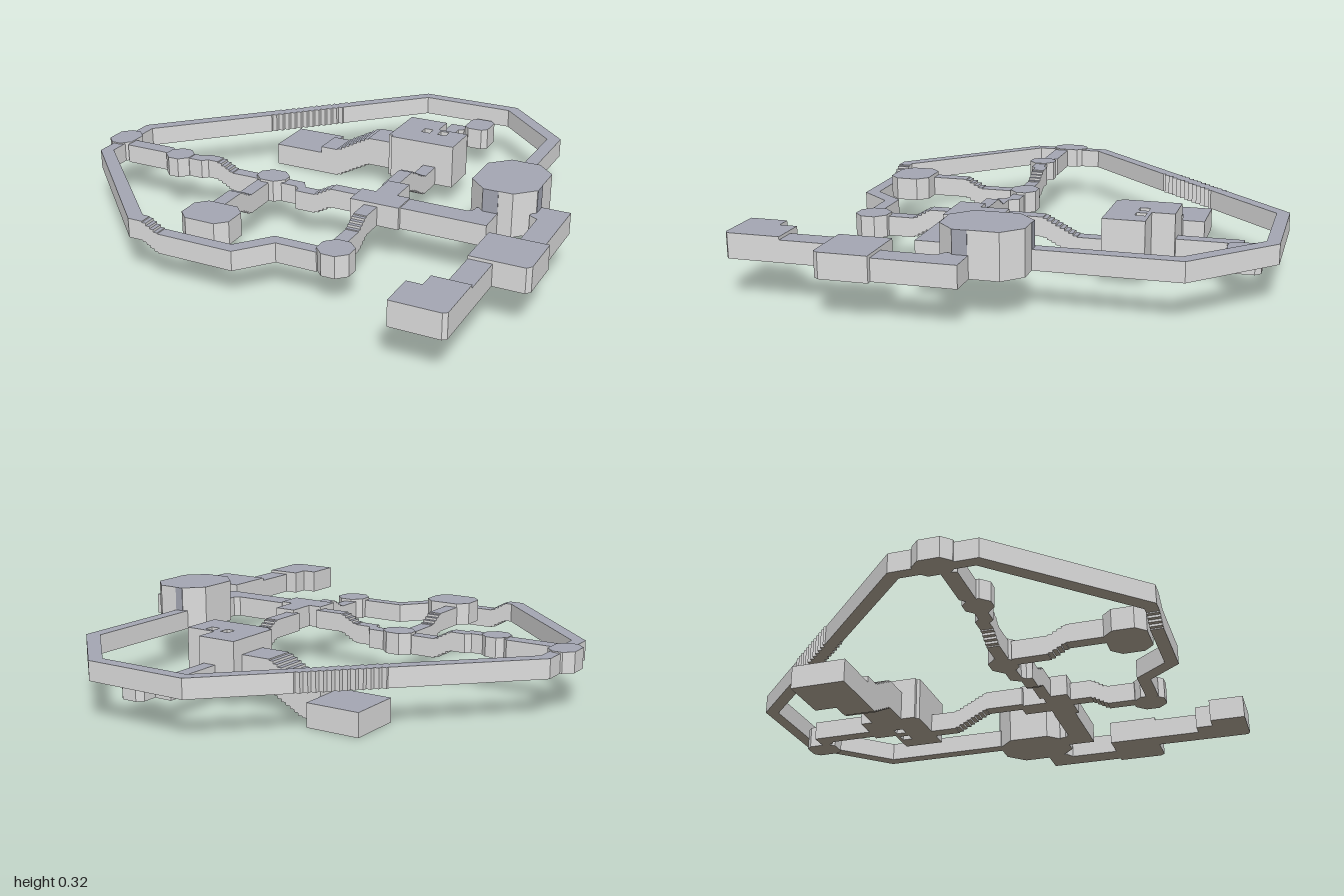
import * as THREE from 'three';

const wall = new THREE.MeshStandardMaterial({ name: 'wall light grey', color: 0xdcdcdc });
const roof = new THREE.MeshStandardMaterial({ name: 'roof blue grey', color: 0xa3a6b2 });
const floor = new THREE.MeshStandardMaterial({ name: 'floor warm grey', color: 0xa89f90 });

export function createModel() {
  const model = new THREE.Group();
  model.name = 'undergroundComplex';

  // Upright prism over an [x, z] outline: floor, roof and wall each get a colour
  function prism(name, pts, y0, y1, holes = [], parent = model) {
    const flat = (list) => list.map(([x, z]) => new THREE.Vector2(x, -z));
    const shape = new THREE.Shape(flat(pts));
    holes.forEach((h) => shape.holes.push(new THREE.Path(flat(h).reverse())));
    const geo = new THREE.ExtrudeGeometry(shape, { depth: y1 - y0, bevelEnabled: false });
    geo.rotateX(-Math.PI / 2).translate(0, y0, 0);
    const caps = geo.groups[0].count;
    const total = geo.attributes.position.count;
    geo.clearGroups();
    geo.addGroup(0, caps / 2, 0);
    geo.addGroup(caps / 2, caps / 2, 1);
    geo.addGroup(caps, total - caps, 2);
    const mesh = new THREE.Mesh(geo, [floor, roof, wall]);
    mesh.name = name;
    parent.add(mesh);
  }
  const rect = (x0, x1, z0, z1) => [[x0, z0], [x1, z0], [x1, z1], [x0, z1]];
  const box = (name, x0, x1, z0, z1, y0, y1, parent) =>
    prism(name, rect(x0, x1, z0, z1), y0, y1, [], parent);
  // Rectangle with its corners cut by c
  const chamfer = (name, x0, x1, z0, z1, c, y0, y1) => prism(name, [
    [x0 + c, z0], [x1 - c, z0], [x1, z0 + c], [x1, z1 - c],
    [x1 - c, z1], [x0 + c, z1], [x0, z1 - c], [x0, z0 + c]], y0, y1);
  // Stepped passage along x or z; the floor goes from ya to yb
  function stairs(name, axis, a, b, side0, side1, ya, yb, h, n) {
    const g = new THREE.Group();
    g.name = name;
    model.add(g);
    for (let i = 0; i < n; i++) {
      const p = a + (b - a) * i / n, q = a + (b - a) * (i + 1) / n;
      const y = ya + (yb - ya) * (i + 0.5) / n;
      if (axis === 'x') box('step', p, q, side0, side1, y, y + h, g);
      else box('step', side0, side1, p, q, y, y + h, g);
    }
  }
  // Thin roof-coloured panel on a wall above a doorway
  function lintel(name, x0, x1, z0, z1, y0, y1) {
    const mesh = new THREE.Mesh(new THREE.BoxGeometry(x1 - x0, y1 - y0, z1 - z0), roof);
    mesh.position.set((x0 + x1) / 2, (y0 + y1) / 2, (z0 + z1) / 2);
    mesh.name = name;
    model.add(mesh);
  }

  const U = 0.15, UT = 0.227, L = 0.112, LT = 0.19, D = 0.08;

  // Outer ring passage, back half
  box('ringWestStub', -0.957, -0.91, -0.03, 0.08, U, UT);
  prism('ringDiagonalWest', [[-0.957, -0.03], [-0.53, -0.457], [-0.53, -0.385], [-0.91, -0.005]], U, UT);
  const zigzag = new THREE.Group();
  zigzag.name = 'ringZigzag';
  model.add(zigzag);
  for (let i = 0; i < 12; i++) {
    const x = -0.53 + i * 0.02;
    box('zigzagBlock', x, x + 0.02, -0.997 - x, -0.925 - x, U, UT, zigzag);
  }
  prism('ringBack', [[-0.29, -0.697], [-0.017, -0.97], [0.42, -0.97], [0.715, -0.68], [0.715, -0.13],
    [0.662, -0.13], [0.662, -0.657], [0.397, -0.92], [0.003, -0.92], [-0.29, -0.625]], U, UT);

  // Outer ring passage, front half
  prism('ringFrontWest', [[-0.957, 0.19], [-0.91, 0.19], [-0.91, 0.275], [-0.43, 0.75], [-0.4, 0.75],
    [-0.4, 0.8], [-0.46, 0.8], [-0.957, 0.3]], U, UT);
  stairs('ringStairs', 'x', -0.4, -0.335, 0.75, 0.8, U, L, 0.077, 4);
  prism('ringFrontEast', [[-0.335, 0.75], [-0.05, 0.75], [0.055, 0.62], [0.25, 0.62], [0.25, 0.67],
    [0.085, 0.67], [-0.022, 0.8], [-0.335, 0.8]], L, LT);
  chamfer('frontOctagonRoom', 0.24, 0.37, 0.56, 0.69, 0.038, L, 0.2);
  box('frontPassageLow', 0.258, 0.312, 0.455, 0.57, L, LT);
  stairs('frontStairs', 'z', 0.39, 0.455, 0.258, 0.312, U, L, 0.077, 4);
  box('frontPassageHigh', 0.258, 0.312, 0.29, 0.39, U, UT);

  // West to east passage
  chamfer('westOctagonRoom', -1, -0.89, 0.06, 0.21, 0.035, U, 0.232);
  prism('westPassage', [[-0.9, 0.14], [-0.7, 0.14], [-0.68, 0.16], [-0.68, 0.2], [-0.89, 0.2]], U, UT);
  chamfer('smallOctagonRoom', -0.69, -0.58, 0.135, 0.245, 0.033, U, 0.23);
  prism('joggedPassage', [[-0.59, 0.16], [-0.54, 0.16], [-0.52, 0.14], [-0.455, 0.14], [-0.455, 0.19],
    [-0.5, 0.19], [-0.52, 0.21], [-0.59, 0.21]], U, UT);
  stairs('westStairs', 'x', -0.455, -0.385, 0.14, 0.19, U, L, 0.077, 4);
  box('middlePassage', -0.385, -0.27, 0.14, 0.19, L, LT);
  chamfer('middleOctagonRoom', -0.28, -0.15, 0.1, 0.21, 0.036, L, 0.2);
  prism('joggedLowPassage', [[-0.16, 0.14], [-0.08, 0.14], [-0.055, 0.18], [0.01, 0.18], [0.01, 0.23],
    [-0.075, 0.23], [-0.075, 0.205], [-0.095, 0.19], [-0.16, 0.19]], L, LT);
  stairs('eastStairs', 'x', 0.01, 0.08, 0.18, 0.23, L, U, 0.077, 4);
  box('crossingPassage', 0.08, 0.21, 0.18, 0.23, U, UT);

  // Front chamber reached by its own stairs
  box('chamberPassageLow', -0.262, -0.208, 0.2, 0.345, L, LT);
  stairs('chamberStairs', 'z', 0.345, 0.415, -0.262, -0.208, L, U, 0.077, 4);
  box('chamberPassageHigh', -0.262, -0.208, 0.415, 0.57, U, UT);
  chamfer('frontChamber', -0.3, -0.098, 0.56, 0.727, 0.04, U, 0.242);

  // Crossing room and passage to the tall hall
  prism('crossingRoom', [[0.2, 0.195], [0.258, 0.195], [0.258, 0.08], [0.348, 0.08], [0.348, 0.195],
    [0.4, 0.195], [0.4, 0.3], [0.2, 0.3]], U, 0.24);
  prism('eastPassage', [[0.4, 0.193], [0.63, 0.193], [0.65, 0.175], [0.65, 0.15], [0.74, 0.15],
    [0.74, 0.285], [0.4, 0.285]], U, 0.235);
  chamfer('tallOctagonHall', 0.61, 0.866, -0.14, 0.17, 0.07, U, 0.325);
  lintel('frontLintel', 0.68, 0.74, 0.169, 0.172, 0.235, 0.325);
  lintel('eastLintel', 0.865, 0.868, 0.045, 0.1, 0.235, 0.325);
  lintel('backLintel', 0.68, 0.715, -0.142, -0.139, UT, 0.325);

  // East wing
  prism('eastWingPassage', [[0.866, 0.042], [0.98, 0.042], [0.98, 0.36], [0.885, 0.36], [0.885, 0.15],
    [0.85, 0.13], [0.85, 0.08]], U, 0.235);
  prism('eastRoom', [[0.775, 0.355], [1, 0.355], [1, 0.54], [0.985, 0.56], [0.775, 0.56]], U, 0.247);
  box('eastRoomPassage', 0.775, 0.865, 0.56, 0.75, U, 0.235);
  prism('cornerRoom', [[0.72, 0.75], [0.865, 0.75], [0.865, 0.955], [0.85, 0.967], [0.66, 0.967],
    [0.66, 0.82], [0.72, 0.82]], U, 0.247);

  // Pillared hall, open through its two shafts
  prism('pillaredHall', [[0.075, -0.565], [0.24, -0.565], [0.24, -0.475], [0.37, -0.475], [0.37, -0.31],
    [0.092, -0.31], [0.092, -0.325], [0.075, -0.325]], D, 0.26,
  [rect(0.182, 0.22, -0.46, -0.42), rect(0.255, 0.293, -0.46, -0.42)]);
  box('hallPassageLow', 0.24, 0.295, -0.31, -0.2, D, 0.157);
  stairs('hallStairs', 'z', -0.2, -0.065, 0.24, 0.295, D, U, 0.077, 8);
  box('hallPassageHigh', 0.24, 0.295, -0.065, 0.095, U, UT);

  // Back store room
  prism('backPassage', [[0.165, -0.82], [0.24, -0.82], [0.24, -0.775], [0.22, -0.76], [0.22, -0.565],
    [0.165, -0.565]], D, 0.157);
  chamfer('backRoom', 0.24, 0.347, -0.9, -0.77, 0.022, D, 0.17);

  // Lowest room and its long stairs
  box('lowestRoom', -0.5, -0.28, -0.605, -0.385, 0, 0.093);
  box('lowestPassage', -0.28, -0.2, -0.515, -0.385, 0, 0.12);
  stairs('longStairs', 'x', -0.2, -0.05, -0.515, -0.385, 0, D, 0.12, 8);
  box('hallEntrance', -0.05, 0.075, -0.515, -0.385, D, 0.2);

  return model;
}
